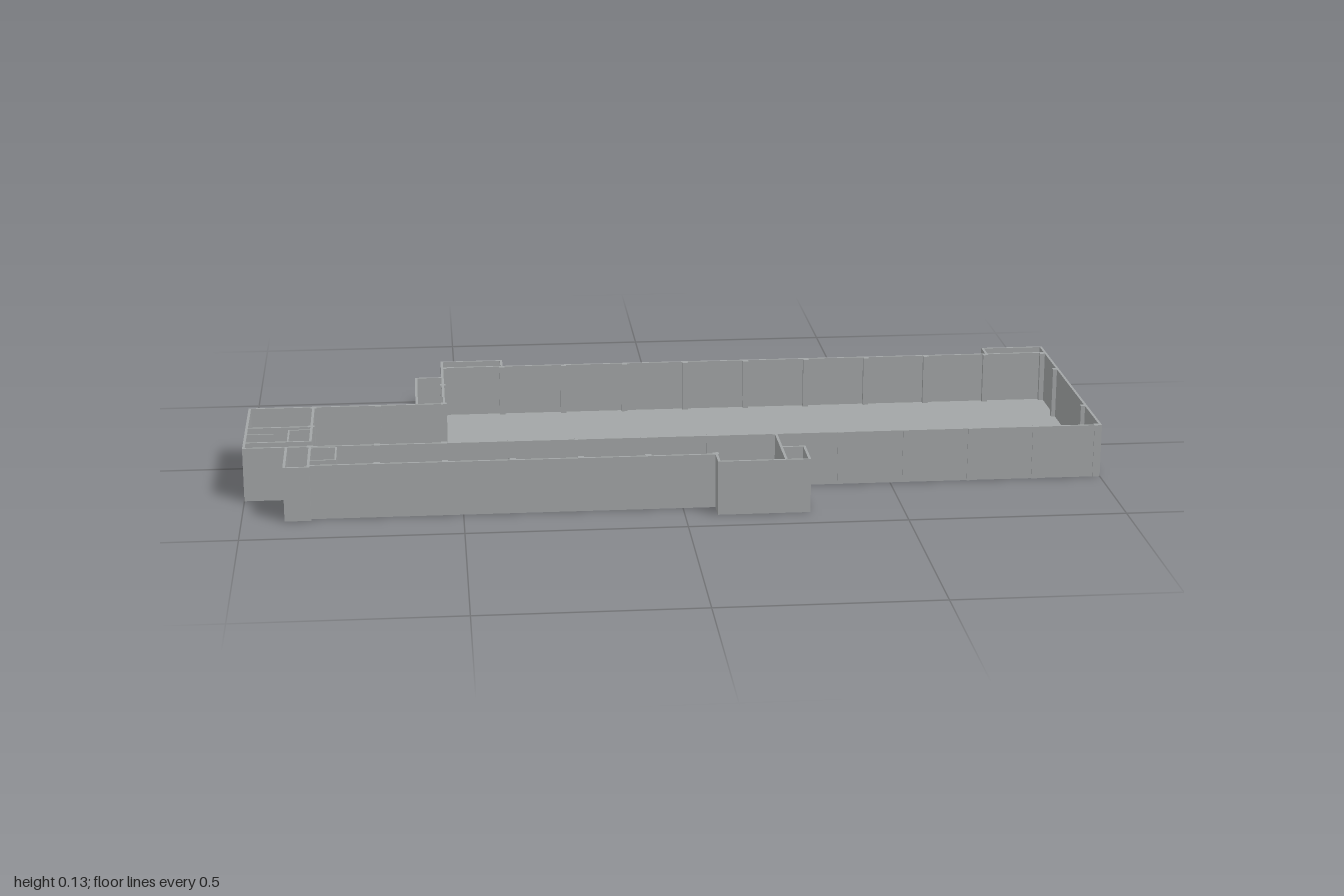
import * as THREE from 'three';

const H = 0.127;      // wall height
const T = 0.006;      // wall thickness
const FLOOR = 0.004;  // slab thickness

export function createModel() {
  const group = new THREE.Group();
  const concrete = new THREE.MeshStandardMaterial({ color: 0xa2a5a6 });

  const box = (name, x0, x1, z0, z1) => {
    const mesh = new THREE.Mesh(new THREE.BoxGeometry(x1 - x0, H, z1 - z0), concrete);
    mesh.position.set((x0 + x1) / 2, H / 2, (z0 + z1) / 2);
    mesh.name = name;
    group.add(mesh);
  };
  // Walls centred on a line, along x or along z
  const wallX = (name, x0, x1, z, t = T) => box(name, x0 - t / 2, x1 + t / 2, z - t / 2, z + t / 2);
  const wallZ = (name, x, z0, z1, t = T) => box(name, x - t / 2, x + t / 2, z0 - t / 2, z1 + t / 2);

  // Floor slab following the outer outline
  const outline = [
    [-0.997, -0.07], [-0.6, -0.07], [-0.6, -0.288], [-0.535, -0.288], [-0.535, -0.424],
    [-0.386, -0.424], [-0.386, -0.373], [0.846, -0.373], [0.846, -0.424], [0.997, -0.424],
    [0.997, 0.234], [0.23, 0.234], [0.23, 0.332], [0.283, 0.332], [0.283, 0.424],
    [0.077, 0.424], [0.077, 0.371], [-0.846, 0.371], [-0.846, 0.382], [-0.9, 0.382],
    [-0.9, 0.234], [-0.997, 0.234],
  ];
  const shape = new THREE.Shape(outline.map(([x, z]) => new THREE.Vector2(x, -z)));
  const slab = new THREE.ExtrudeGeometry(shape, { depth: FLOOR, bevelEnabled: false });
  slab.rotateX(-Math.PI / 2);
  const floor = new THREE.Mesh(slab, concrete);
  floor.name = 'floorSlab';
  group.add(floor);

  // Main hall
  wallX('backWall', -0.535, 0.997, -0.373);
  wallX('frontWall', -0.997, 0.997, 0.234);
  wallZ('leftEndWall', 0.997, -0.424, 0.234);
  wallZ('rightHallWall', -0.535, -0.424, -0.07);
  wallX('rightWingBackWall', -0.997, -0.535, -0.07);
  wallZ('rightEndWall', -0.997, -0.07, 0.234);

  // Back bays
  wallX('backBayWall', -0.535, -0.386, -0.424);
  wallZ('backBaySide', -0.386, -0.424, -0.373);
  wallX('backBayWall', 0.846, 0.997, -0.424);
  wallZ('backBaySide', 0.846, -0.424, -0.373);

  // Side bay
  wallZ('sideBayWall', -0.6, -0.288, -0.07);
  wallX('sideBayEnd', -0.6, -0.535, -0.288);

  // Front corridor and stair bay
  wallX('corridorWall', -0.846, 0.077, 0.371);
  wallZ('stairBayOuterWall', -0.9, 0.234, 0.382);
  wallZ('stairBayInnerWall', -0.846, 0.234, 0.382);
  wallX('stairBayFront', -0.9, -0.846, 0.382);
  wallZ('shaftWall', -0.786, 0.245, 0.335, 0.004);
  wallX('shaftWall', -0.846, -0.786, 0.245, 0.004);
  wallX('shaftWall', -0.846, -0.786, 0.335, 0.004);

  // Porch
  wallZ('porchSide', 0.077, 0.371, 0.424);
  wallX('porchFront', 0.077, 0.283, 0.424);
  wallZ('porchSide', 0.23, 0.234, 0.424);
  wallX('porchAnnexBack', 0.23, 0.283, 0.332);
  wallZ('porchAnnexSide', 0.283, 0.332, 0.424);

  // Small rooms at the right end
  wallZ('roomWall', -0.846, -0.07, 0.194);
  wallX('roomWall', -0.997, -0.846, 0.083);
  wallX('roomWall', -0.997, -0.846, 0.194);
  wallX('roomStub', -0.997, -0.935, 0.133, 0.004);
  wallZ('closetWall', -0.898, 0.107, 0.194, 0.004);
  wallX('closetWall', -0.898, -0.846, 0.107, 0.004);

  // Columns on a regular grid along the walls
  const C = 0.014;
  const column = (x, z) => box('column', x - C / 2, x + C / 2, z - C / 2, z + C / 2);
  const step = 0.1535;
  for (let i = 0; i <= 12; i++) {
    const x = -0.846 + i * step;
    const xc = Math.min(x, 0.989);
    if (i >= 2) column(i === 2 ? -0.531 : xc, -0.367);
    column(xc, 0.232);
    if (i >= 1 && i <= 6) column(x, 0.366);
  }
  for (const z of [-0.226, 0.081]) column(0.991, z);
  column(-0.535, -0.226);
  column(-0.535, -0.072);
  column(-0.692, -0.067);
  column(-0.846, -0.065);
  column(-0.846, 0.081);
  column(0.088, 0.232);

  return group;
}
